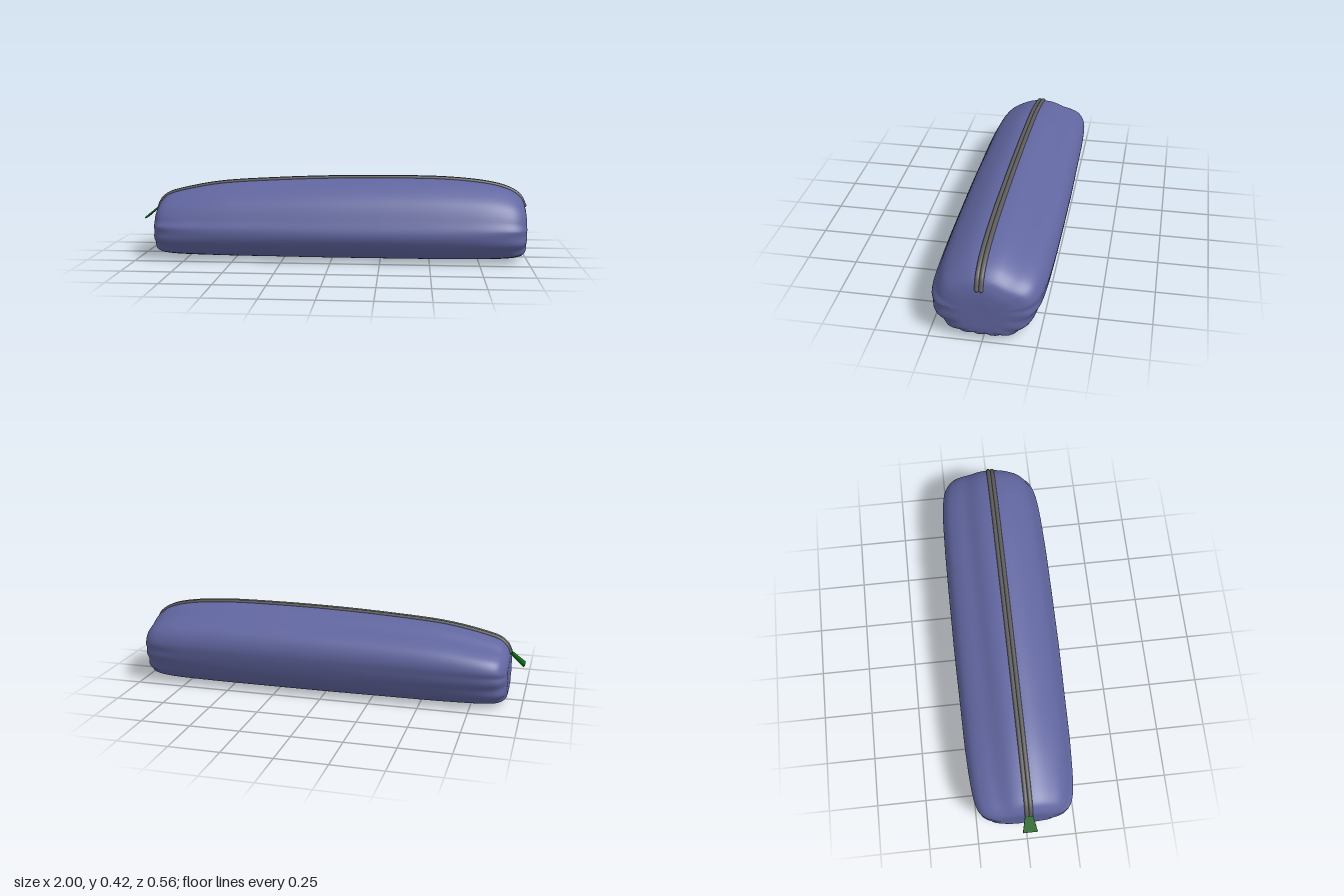
import * as THREE from 'three';

const CORE = 0.16, TOP = 0.413; // height the ends close on, full height

// Stations along the length: x, width scale, top height
const STATIONS = [
  [-0.925, 0, 0.16], [-0.925, 0.3, 0.2], [-0.922, 0.55, 0.25], [-0.905, 0.72, 0.285],
  [-0.87, 0.84, 0.315], [-0.8, 0.91, 0.337], [-0.6, 0.965, 0.375], [-0.3, 0.985, 0.397],
  [0, 1, 0.409], [0.3, 1, 0.413], [0.6, 0.99, 0.408], [0.8, 0.96, 0.388],
  [0.9, 0.9, 0.362], [0.96, 0.78, 0.325], [0.988, 0.55, 0.275], [0.995, 0.3, 0.22], [0.995, 0, 0.16],
];

// Cross-section as z, y
const SECTION = [
  [0, 0.001], [0.1, 0.005], [0.19, 0.024], [0.245, 0.07], [0.278, 0.14], [0.256, 0.215],
  [0.21, 0.31], [0.14, 0.37], [0.07, 0.405], [0, 0.413], [-0.07, 0.402], [-0.14, 0.364],
  [-0.205, 0.338], [-0.25, 0.305], [-0.277, 0.24], [-0.262, 0.14], [-0.235, 0.075], [-0.19, 0.026], [-0.12, 0.003],
];

function bodyGeometry() {
  const rings = new THREE.CatmullRomCurve3(STATIONS.map(s => new THREE.Vector3(...s))).getPoints(96);
  const n = 96;
  const section = new THREE.CatmullRomCurve3(SECTION.map(([z, y]) => new THREE.Vector3(0, y, z)), true)
    .getSpacedPoints(n).slice(0, n);
  const pos = [], index = [];
  rings.forEach((r, i) => {
    const w = THREE.MathUtils.clamp(r.y, 0, 1);
    const bottom = CORE * (1 - Math.pow(w, 0.4));
    section.forEach((p, j) => {
      // Soft gathers in the cloth towards the lower half of both ends
      const low = THREE.MathUtils.smoothstep(0.26 - p.y, 0, 0.1);
      const k = 1 + 0.05 * low * w * (1 - w) * 4 * Math.sin(j * Math.PI * 2 * 17 / n);
      const y = p.y > CORE
        ? CORE + (p.y - CORE) * (r.z - CORE) / (TOP - CORE)
        : CORE - (CORE - p.y) * (CORE - bottom) / CORE * Math.min(k, 1);
      pos.push(r.x, y, p.z * w * k);
      if (i < rings.length - 1) {
        const a = i * n + j, b = i * n + (j + 1) % n;
        index.push(a, a + n, b, b, a + n, b + n);
      }
    });
  });
  const g = new THREE.BufferGeometry();
  g.setAttribute('position', new THREE.Float32BufferAttribute(pos, 3));
  g.setIndex(index);
  g.computeVertexNormals();
  return g;
}

export function createModel() {
  const model = new THREE.Group();
  const cloth = new THREE.MeshStandardMaterial({ color: 0x6166a0 });
  const metal = new THREE.MeshStandardMaterial({ color: 0x5c5c5c });
  const green = new THREE.MeshStandardMaterial({ color: 0x0b6014 });
  const add = (name, geometry, material, parent = model) => {
    const mesh = new THREE.Mesh(geometry, material);
    mesh.name = name;
    parent.add(mesh);
    return mesh;
  };

  add('pouchBody', bodyGeometry(), cloth);

  // Zip: two cords side by side over the top, closed with round ends
  const zip = new THREE.Group();
  zip.name = 'zip';
  model.add(zip);
  for (const z of [0.002, 0.022]) {
    const path = new THREE.CatmullRomCurve3(
      STATIONS.slice(2, 15).map(([x, , top]) => new THREE.Vector3(Math.min(x, 0.986), top, z)));
    add('zipCord', new THREE.TubeGeometry(path, 100, 0.011, 12), metal, zip);
    for (const t of [0, 1]) {
      add('zipCordEnd', new THREE.SphereGeometry(0.011, 12, 8), metal, zip).position.copy(path.getPoint(t));
    }
  }

  // Pull tab: a thin flared strip hanging off the left end of the zip
  const tab = new THREE.Shape([[0, -0.017], [0.105, -0.037], [0.105, 0.037], [0, 0.017]]
    .map(([x, y]) => new THREE.Vector2(x, y)));
  const tabGeometry = new THREE.ExtrudeGeometry(tab, { depth: 0.008, bevelEnabled: false });
  tabGeometry.translate(0, 0, -0.004).rotateX(-Math.PI / 2).rotateZ(Math.PI + 0.69);
  add('pullTab', tabGeometry, green).position.set(-0.916, 0.255, 0.012);

  return model;
}
